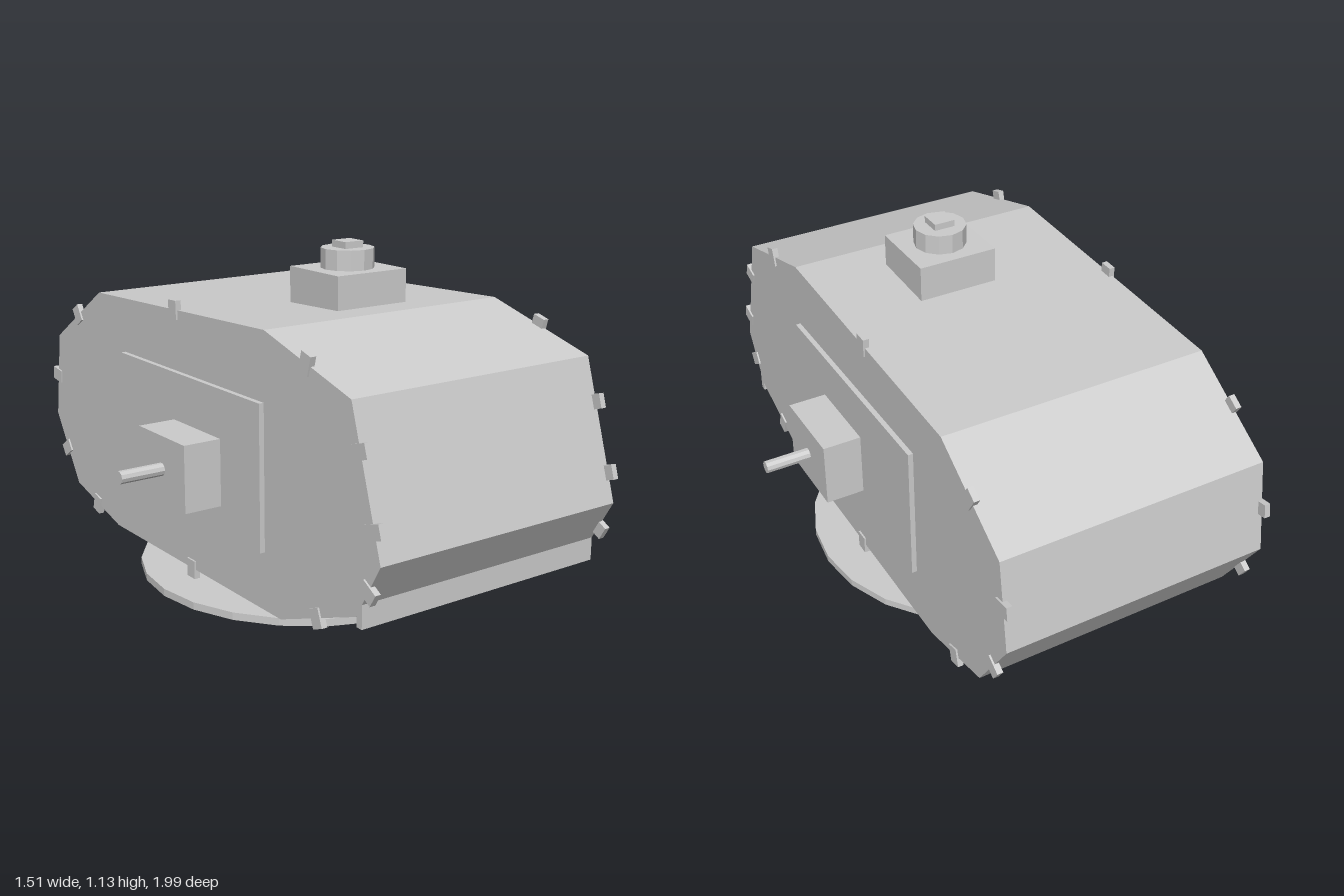
import * as THREE from 'three';

const mat = new THREE.MeshStandardMaterial({ color: 0xcccccc, flatShading: true });

export function createModel() {
  const model = new THREE.Group();

  function add(name, geometry, x, y, z) {
    const mesh = new THREE.Mesh(geometry, mat);
    mesh.name = name;
    mesh.position.set(x, y, z);
    model.add(mesh);
    return mesh;
  }
  // Box given by its lower and upper limits on each axis
  function box(name, [x0, x1], [y0, y1], [z0, z1]) {
    return add(name, new THREE.BoxGeometry(x1 - x0, y1 - y0, z1 - z0),
      (x0 + x1) / 2, (y0 + y1) / 2, (z0 + z1) / 2);
  }

  // Housing: side outline as (z, y), extruded across the width
  const outline = [
    [0.43, 0.94], [0.85, 0.82], [0.985, 0.38], [0.88, 0.2], [0.51, 0.06],
    [-0.52, 0.06], [-0.83, 0.14], [-0.985, 0.38], [-0.94, 0.69], [-0.605, 0.9],
  ].map(([z, y]) => new THREE.Vector2(z, y));
  const half = 0.458;
  const housing = new THREE.ExtrudeGeometry(new THREE.Shape(outline), { depth: 2 * half, bevelEnabled: false });
  housing.translate(0, 0, -half).rotateY(-Math.PI / 2);
  add('housing', housing, 0, 0, 0);

  // Base disc and the front lip
  add('baseDisc', new THREE.CylinderGeometry(0.583, 0.583, 0.025, 24), 0, 0.0125, 0.022);
  box('frontLip', [-half, half], [0.17, 0.265], [0.882, 0.906]);

  // Cap on top: block, twelve-sided nut and square head
  box('topBlock', [-0.095, 0.18], [0.92, 1.045], [0.048, 0.307]);
  add('topNut', new THREE.CylinderGeometry(0.088, 0.088, 0.066, 12), 0.041, 1.078, 0.177);
  box('nutHead', [0.005, 0.077], [1.11, 1.133], [0.141, 0.213]);

  // Clips along the rim: outline edge and the fraction along it
  const clips = [[0, 0.5], [1, 0.31], [1, 0.79], [2, 0.5], [3, 0.5], [4, 0.5],
    [5, 0.5], [6, 0.5], [7, 0.5], [8, 0.5], [9, 0.5]];

  for (const s of [1, -1]) {
    const side = s > 0 ? 'left' : 'right';
    const span = (a, b) => (s > 0 ? [a, b] : [-b, -a]);

    // Side plate, bearing block and shaft
    box(side + 'SidePlate', span(0.45, 0.475), [0.25, 0.72], [-0.423, 0.427]);
    box(side + 'BearingBlock', span(0.47, 0.605), [0.34, 0.56], [-0.072, 0.208]);
    const shaft = add(side + 'Shaft', new THREE.CylinderGeometry(0.021, 0.021, 0.16, 10), s * 0.677, 0.45, 0.068);
    shaft.rotation.z = Math.PI / 2;

    // Each clip straddles its edge and lies square to it
    for (const [i, t] of clips) {
      const a = outline[i], b = outline[(i + 1) % outline.length];
      const p = a.clone().lerp(b, t);
      const clip = add(side + 'Clip', new THREE.BoxGeometry(0.02, 0.062, 0.046), s * 0.454, p.y, p.x);
      clip.rotation.x = Math.atan2(a.y - b.y, b.x - a.x);
    }
  }
  return model;
}
